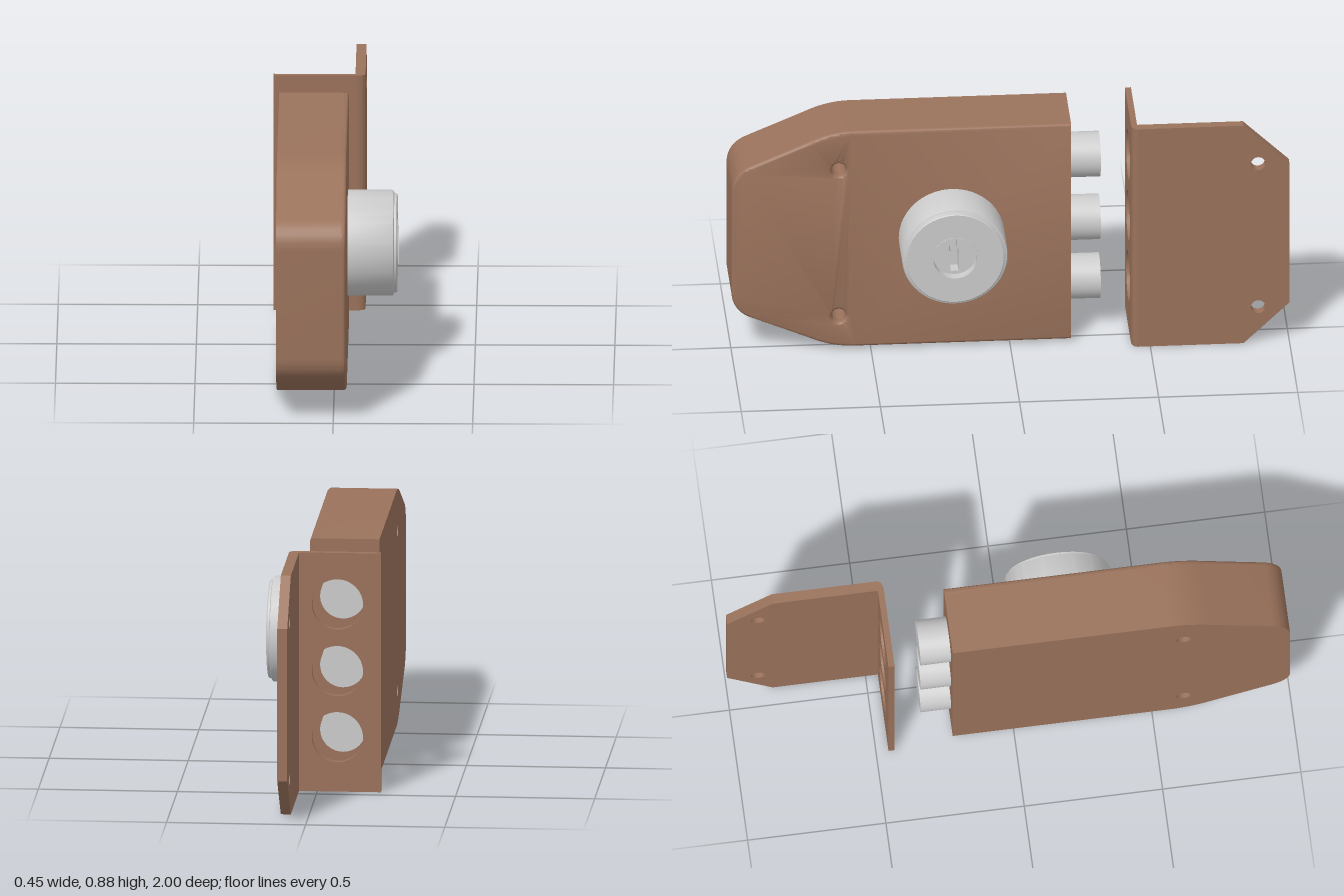
import * as THREE from 'three';
import { toCreasedNormals } from 'three/addons/utils/BufferGeometryUtils.js';

const brown = new THREE.MeshStandardMaterial({ color: 0x9a725b });
const grey = new THREE.MeshStandardMaterial({ color: 0xcccccc });

function add(parent, name, geometry, material) {
  const mesh = new THREE.Mesh(toCreasedNormals(geometry, 0.6), material);
  mesh.name = name;
  parent.add(mesh);
  return mesh;
}

function addHole(shape, x, y, r) {
  const hole = new THREE.Path();
  hole.absarc(x, y, r, 0, Math.PI * 2, true);
  shape.holes.push(hole);
}

// Extrudes a side profile drawn in (-z, y) along x, starting at x0
function extrudeAcross(shape, x0, depth, options = {}) {
  const g = new THREE.ExtrudeGeometry(shape, { depth, bevelEnabled: false, curveSegments: 16, ...options });
  return g.rotateY(Math.PI / 2).translate(x0, 0, 0);
}

// Lock case outline: straight rear, tapered and rounded front
function caseShape() {
  const mid = 0.443, h = 0.433, s = new THREE.Shape();
  s.moveTo(0.22, mid - h);
  s.lineTo(0.22, mid + h);
  s.lineTo(-0.56, mid + h);
  s.quadraticCurveTo(-0.64, mid + h, -0.72, mid + 0.395);
  s.lineTo(-0.93, mid + 0.305);
  s.quadraticCurveTo(-1, mid + 0.275, -1, mid + 0.2);
  s.lineTo(-1, mid - 0.2);
  s.quadraticCurveTo(-1, mid - 0.275, -0.93, mid - 0.305);
  s.lineTo(-0.72, mid - 0.395);
  s.quadraticCurveTo(-0.64, mid - h, -0.56, mid - h);
  s.closePath();
  for (const y of [0.135, 0.722]) addHole(s, -0.615, y, 0.026);
  return s;
}

function buildCase() {
  const group = new THREE.Group();
  group.name = 'lockCase';
  add(group, 'caseBody', extrudeAcross(caseShape(), -0.205, 0.229), brown);
  // Cover with a softened rim; the rear end stays square
  const cover = extrudeAcross(caseShape(), 0.023, 0.01, {
    bevelEnabled: true, bevelSize: 0.012, bevelOffset: -0.012, bevelThickness: 0.012, bevelSegments: 4,
  });
  const p = cover.attributes.position;
  for (let i = 0; i < p.count; i++) if (p.getZ(i) < -0.205) p.setZ(i, -0.22);
  add(group, 'caseCover', cover, brown);
  return group;
}

function buildKeyCylinder() {
  const group = new THREE.Group();
  group.name = 'keyCylinder';
  // Housing profile as (radius, x), with a recessed bore
  const profile = [
    [0.19, 0.04], [0.19, 0.203], [0.187, 0.209], [0.178, 0.212], [0.178, 0.219], [0.174, 0.223],
    [0.085, 0.223], [0.085, 0.226], [0.078, 0.226], [0.078, 0.14], [0, 0.14],
  ].map(([r, x]) => new THREE.Vector2(r, x));
  const housing = new THREE.LatheGeometry(profile, 64).rotateZ(-Math.PI / 2);
  add(group, 'cylinderHousing', housing, grey);

  // Core with a stepped keyway
  const core = new THREE.Shape().absarc(0, 0, 0.079, 0, Math.PI * 2);
  core.holes.push(new THREE.Path([
    [-0.014, -0.065], [-0.014, 0.01], [-0.02, 0.02], [-0.02, 0.06], [0.008, 0.06],
    [0.008, 0.03], [0.014, 0.02], [0.014, -0.065],
  ].map(([x, y]) => new THREE.Vector2(x, y))));
  add(group, 'keyCore', extrudeAcross(core, 0.139, 0.051, { curveSegments: 32 }), grey);
  group.position.set(0, 0.443, 0.21);
  return group;
}

function buildStrike() {
  const group = new THREE.Group();
  group.name = 'strikePlate';
  const H = 0.877;

  // Side flange with clipped corners and screw holes
  const side = new THREE.Shape([
    [0.455, 0], [0.835, 0], [1, 0.158], [1, H - 0.158], [0.835, H], [0.455, H],
  ].map(([x, y]) => new THREE.Vector2(x, y)));
  for (const y of [0.145, 0.722]) addHole(side, 0.888, y, 0.026);
  add(group, 'sideFlange', extrudeAcross(side, 0.066, 0.036), brown);

  // Front flange with one opening for each bolt
  const front = new THREE.Shape([
    [-0.228, 0], [0.066, 0], [0.066, H], [-0.228, H],
  ].map(([x, y]) => new THREE.Vector2(x, y)));
  for (const y of [0.2, 0.443, 0.688]) addHole(front, -0.072, y, 0.092);
  const frontGeo = new THREE.ExtrudeGeometry(front, { depth: 0.022, bevelEnabled: false, curveSegments: 24 });
  add(group, 'frontFlange', frontGeo.translate(0, 0, -0.455), brown);

  // Rounded bend joining the flanges
  const bend = new THREE.Shape();
  bend.moveTo(0.066, 0.455);
  bend.lineTo(0.066, 0.433);
  bend.absellipse(0.066, 0.455, 0.036, 0.022, -Math.PI / 2, 0, false);
  bend.closePath();
  const bendGeo = new THREE.ExtrudeGeometry(bend, { depth: H, bevelEnabled: false, curveSegments: 8 });
  add(group, 'bend', bendGeo.rotateX(-Math.PI / 2), brown);
  return group;
}

export function createModel() {
  const model = new THREE.Group();
  model.name = 'rimLock';
  model.add(buildCase(), buildKeyCylinder(), buildStrike());

  // Three round bolts
  for (const y of [0.2, 0.437, 0.69]) {
    const bolt = new THREE.CylinderGeometry(0.082, 0.082, 0.13, 48).rotateX(Math.PI / 2);
    add(model, 'bolt', bolt, grey).position.set(-0.082, y, -0.265);
  }
  return model;
}
